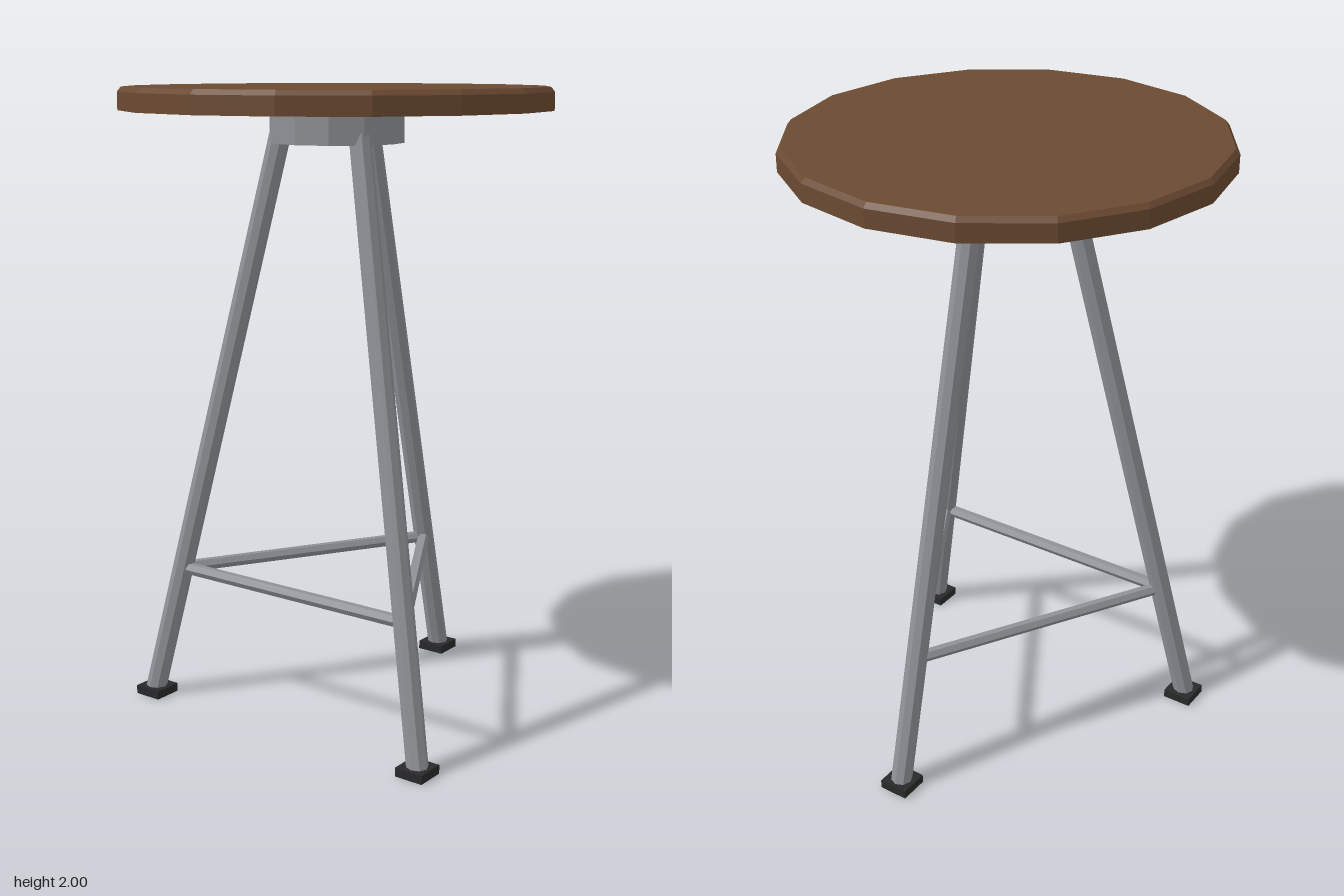
import * as THREE from 'three';

export function createModel() {
  const model = new THREE.Group();
  model.name = 'stool';

  const material = (name, color) => {
    const m = new THREE.MeshStandardMaterial({ color, flatShading: true });
    m.name = name;
    return m;
  };
  const wood = material('brown wood', 0x6b4a32);
  const metal = material('grey metal', 0x8e9196);
  const rubber = material('dark rubber', 0x29292b);

  const add = (name, geometry, mat) => {
    const mesh = new THREE.Mesh(geometry, mat);
    mesh.name = name;
    model.add(mesh);
    return mesh;
  };

  // Straight faceted tube between two points
  const up = new THREE.Vector3(0, 1, 0);
  const bar = (name, a, b, radius, sides) => {
    const dir = b.clone().sub(a);
    const mesh = add(name, new THREE.CylinderGeometry(radius, radius, dir.length(), sides), metal);
    mesh.position.copy(a).add(b).multiplyScalar(0.5);
    mesh.quaternion.setFromUnitVectors(up, dir.normalize());
  };

  // Round seat with a small bevel along the top rim
  const seatProfile = [[0, 1.93], [0.665, 1.93], [0.665, 1.985], [0.653, 2], [0, 2]]
    .map(([r, y]) => new THREE.Vector2(r, y));
  add('seat', new THREE.LatheGeometry(seatProfile, 16), wood);

  // Hub under the seat
  add('hub', new THREE.CylinderGeometry(0.208, 0.208, 0.1, 12), metal).position.y = 1.88;

  // Point on the centre line of a splayed leg at height y
  const legPoint = (angle, y) => {
    const r = 0.608 - 0.237 * (y - 0.03);
    return new THREE.Vector3(Math.sin(angle) * r, y, Math.cos(angle) * r);
  };

  // Three legs with square feet, joined by a triangle of rungs
  const names = ['Left', 'Back', 'Right'];
  const angles = [Math.PI / 3, Math.PI, -Math.PI / 3];
  angles.forEach((angle, i) => {
    bar('leg' + names[i], legPoint(angle, 0.015), legPoint(angle, 1.9), 0.034, 8);

    const foot = add('foot' + names[i], new THREE.BoxGeometry(0.095, 0.028, 0.095), rubber);
    foot.position.copy(legPoint(angle, 0.03)).setY(0.014);

    const next = (i + 1) % 3;
    bar('rung' + names[i] + names[next], legPoint(angle, 0.445), legPoint(angles[next], 0.445), 0.02, 6);
  });

  return model;
}
